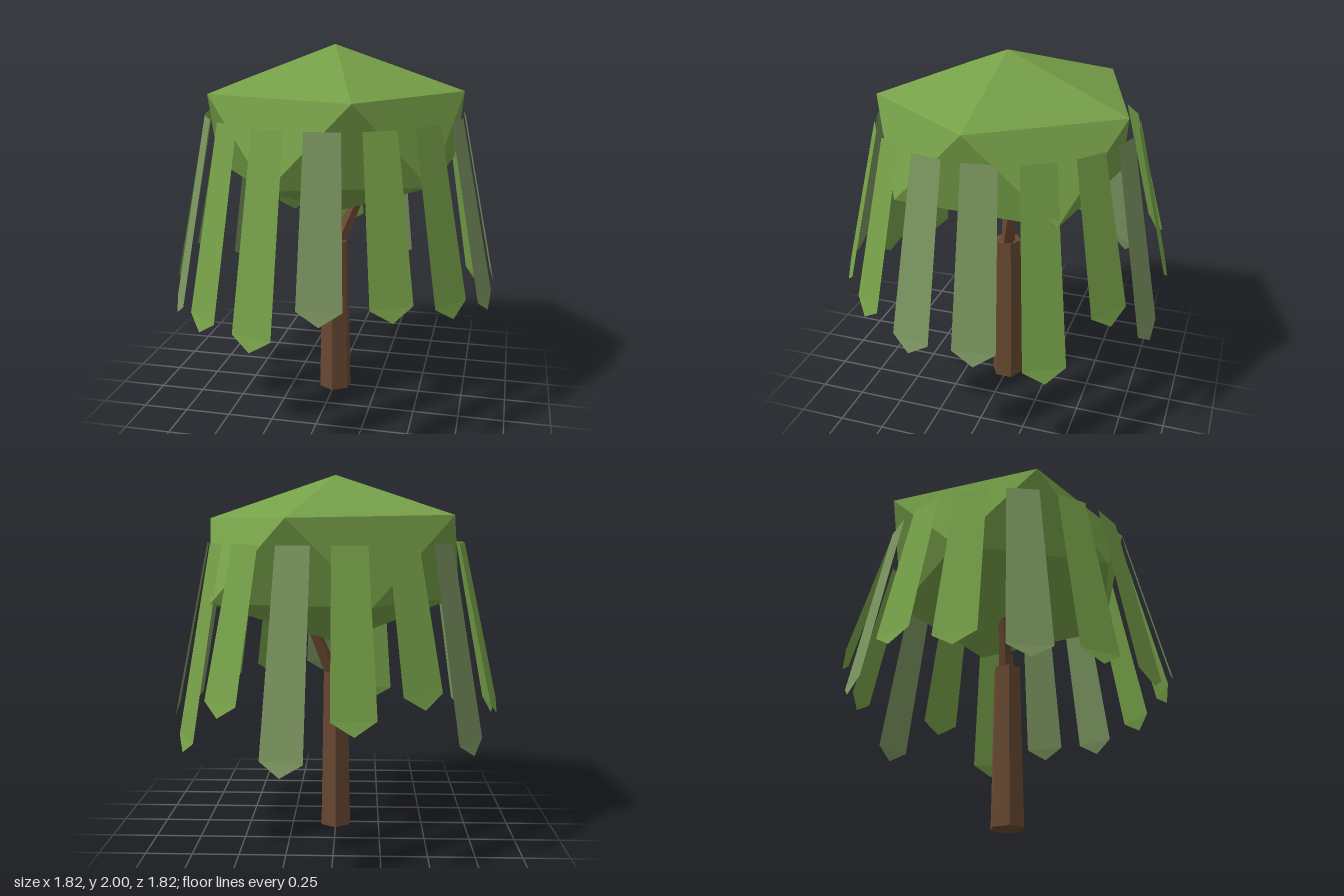
import * as THREE from 'three';

const mat = (name, color, extra = {}) => {
  const m = new THREE.MeshStandardMaterial({ color, flatShading: true, ...extra });
  m.name = name;
  return m;
};

// Flat-shaded mesh from a list of corner points, three per face
function facetMesh(name, points, material) {
  const g = new THREE.BufferGeometry().setFromPoints(points);
  g.computeVertexNormals();
  const mesh = new THREE.Mesh(g, material);
  mesh.name = name;
  return mesh;
}

// Tapered round limb between two points
function limb(name, from, to, r0, r1, sides, material) {
  const dir = to.clone().sub(from);
  const mesh = new THREE.Mesh(new THREE.CylinderGeometry(r1, r0, dir.length(), sides), material);
  mesh.position.copy(from).addScaledVector(dir, 0.5);
  mesh.quaternion.setFromUnitVectors(new THREE.Vector3(0, 1, 0), dir.normalize());
  mesh.name = name;
  return mesh;
}

export function createModel() {
  const group = new THREE.Group();
  group.name = 'droopingTree';
  const V = (x, y, z) => new THREE.Vector3(x, y, z);
  const bark = mat('bark brown', 0x684932);
  const leaf = mat('leaf green', 0x76a048);
  const frondLeaf = mat('frond green', 0x76a048, { side: THREE.DoubleSide });
  const frondPale = mat('pale frond green', 0x7a945f, { side: THREE.DoubleSide });

  // Trunk and its two forked branches
  group.add(limb('trunk', V(0, 0, 0), V(0, 0.905, 0), 0.095, 0.077, 6, bark));
  group.add(limb('rightBranch', V(-0.01, 0.86, 0), V(-0.17, 1.22, 0.05), 0.042, 0.03, 5, bark));
  group.add(limb('leftBranch', V(0.01, 0.86, 0), V(0.15, 1.22, -0.08), 0.042, 0.03, 5, bark));

  // Crown: squashed, slightly uneven twenty-sided solid
  const top = V(0, 2, 0), bottom = V(0, 1.07, 0);
  const upper = [[0.7, 0], [0.22, -0.69], [-0.61, -0.44], [-0.58, 0.42], [0.22, 0.66]]
    .map(([x, z], i) => V(x, i === 2 ? 1.78 : 1.765, z));
  const lower = [[0.63, -0.45], [-0.2, -0.6], [-0.69, 0], [-0.2, 0.675], [0.57, 0.42]]
    .map(([x, z]) => V(x, 1.33, z));
  const faces = [];
  for (let i = 0; i < 5; i++) {
    const j = (i + 1) % 5;
    faces.push(top, upper[i], upper[j]);
    faces.push(upper[i], lower[i], upper[j]);
    faces.push(lower[i], lower[j], upper[j]);
    faces.push(lower[j], lower[i], bottom);
  }
  group.add(facetMesh('crown', faces, leaf));

  // Hanging fronds: a ring of pointed strips, every third one paler
  const tips = [0.65, 0.545, 0.795, 0.545, 0.755, 0.86, 0.57, 0.72,
    0.64, 0.565, 0.58, 0.565, 0.74, 0.745, 0.7, 0.64];
  const polar = (r, a, y) => V(r * Math.sin(a), y, r * Math.cos(a));
  const fronds = new THREE.Group();
  fronds.name = 'fronds';
  tips.forEach((tipY, k) => {
    const a = Math.PI / 2 + (k * Math.PI) / 8, b = a + 0.25;
    const shoulder = tipY + 0.07;
    const tl = polar(0.71, a, 1.635), tr = polar(0.71, b, 1.635);
    const bl = polar(0.9, a, shoulder), br = polar(0.9, b, shoulder);
    const tip = polar(0.915, (a + b) / 2, tipY);
    fronds.add(facetMesh('frond', [tl, bl, br, tl, br, tr, bl, tip, br],
      k % 3 === 0 ? frondPale : frondLeaf));
  });
  group.add(fronds);
  return group;
}
